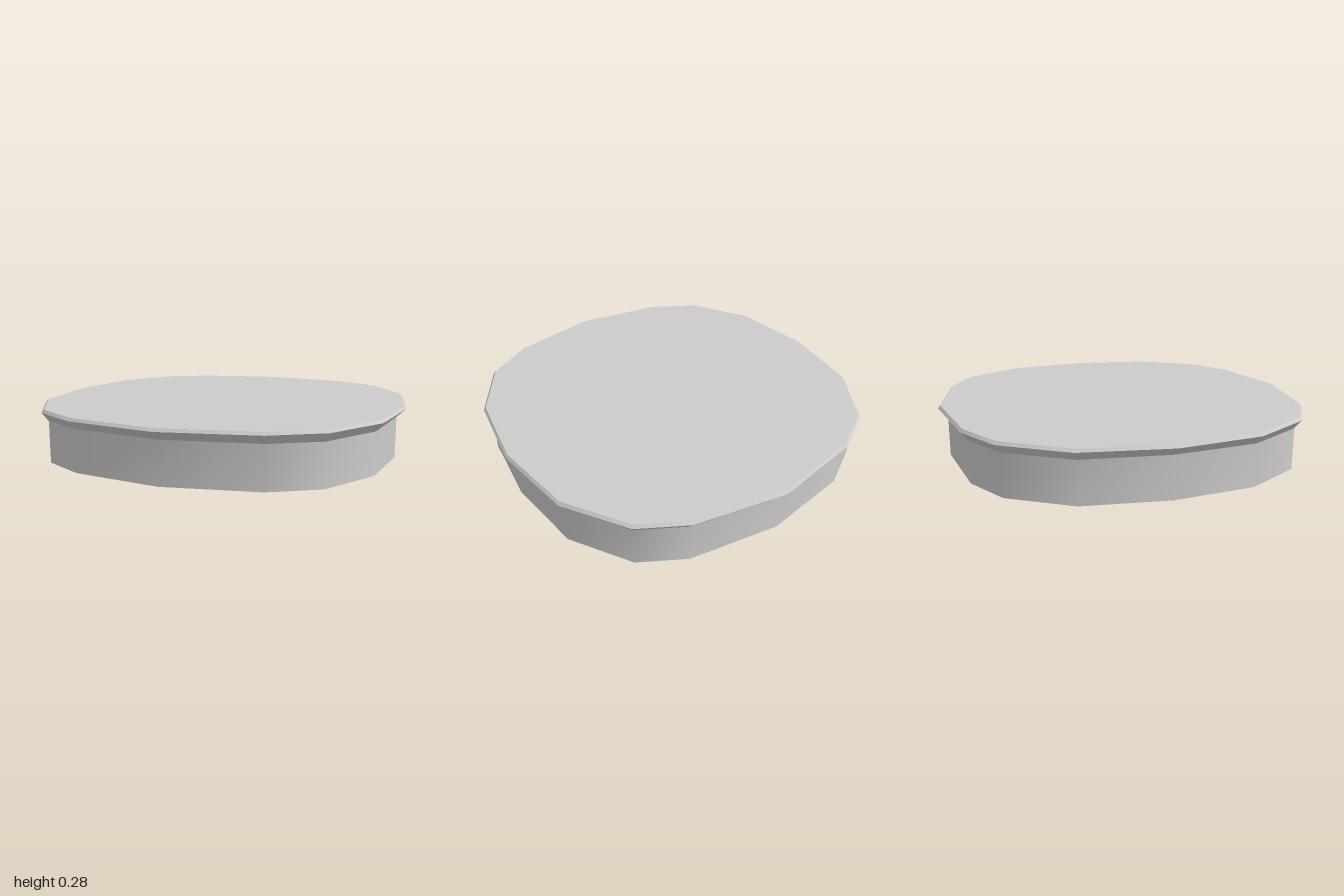
import * as THREE from 'three';

// Right half of each 16-sided outline as [x, z], from back to front.
const rimHalf = [[0, -1], [0.49, -0.91], [0.73, -0.775], [0.935, -0.455], [1, 0],
  [0.935, 0.445], [0.745, 0.76], [0.49, 0.91], [0, 1]];
const bodyHalf = [[0, -0.95], [0.48, -0.875], [0.71, -0.745], [0.9, -0.435], [0.95, 0],
  [0.9, 0.43], [0.72, 0.735], [0.48, 0.87], [0, 0.95]];

// Mirror a half outline across x and lift it to height y.
function ring(half, y, scale = 1) {
  const left = half.slice(1, -1).reverse().map(([x, z]) => [-x, z]);
  return [...half, ...left].map(([x, z]) => [x * scale, y, z * scale]);
}

function makeMesh(name, points, index) {
  const geometry = new THREE.BufferGeometry();
  geometry.setAttribute('position', new THREE.Float32BufferAttribute(points.flat(), 3));
  geometry.setIndex(index);
  geometry.computeVertexNormals();
  const mesh = new THREE.Mesh(geometry, new THREE.MeshStandardMaterial({ color: 0xcccccc }));
  mesh.name = name;
  return mesh;
}

// Smooth band between two rings, with hard edges at both ends.
function band(name, low, high) {
  const n = low.length, index = [];
  for (let i = 0; i < n; i++) {
    const j = (i + 1) % n;
    index.push(i, n + i, j, j, n + i, n + j);
  }
  return makeMesh(name, [...low, ...high], index);
}

// Flat cap fanned from the centre.
function cap(name, outline, up) {
  const n = outline.length, index = [];
  for (let i = 0; i < n; i++) {
    const j = (i + 1) % n;
    index.push(n, up ? j : i, up ? i : j);
  }
  return makeMesh(name, [...outline, [0, outline[0][1], 0]], index);
}

export function createModel() {
  const group = new THREE.Group();
  group.name = 'lowPedestal';
  const base = ring(bodyHalf, 0);
  const neck = ring(bodyHalf, 0.22);
  const rim = ring(rimHalf, 0.265);
  const top = ring(rimHalf, 0.28, 0.988);
  group.add(
    cap('underside', base, false),
    band('sideWall', base, neck),
    band('flaredRim', neck, rim),
    band('topBevel', rim, top),
    cap('topSurface', top, true),
  );
  return group;
}
